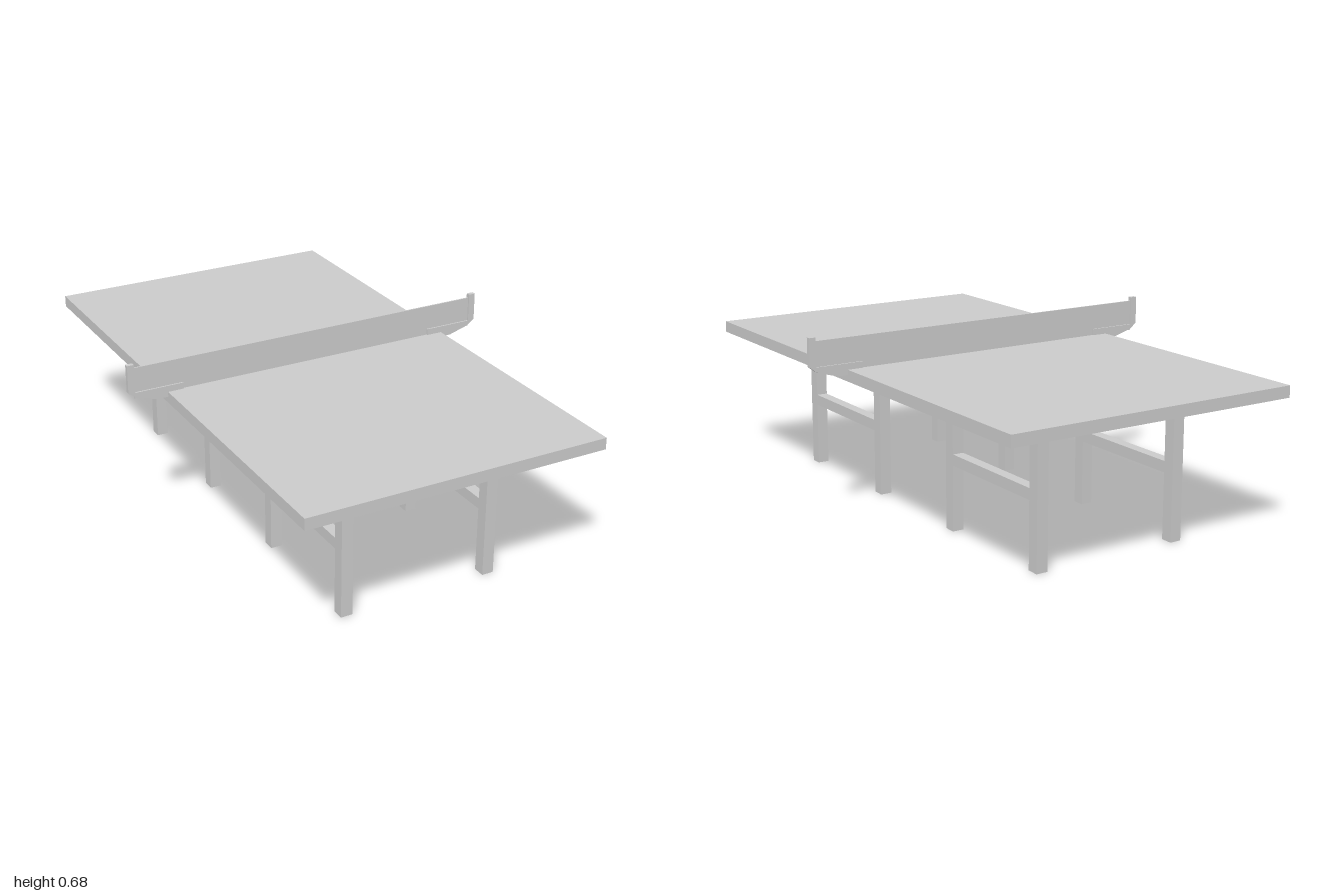
import * as THREE from 'three';

export function createModel() {
  const group = new THREE.Group();
  const material = new THREE.MeshStandardMaterial({ color: 0xcccccc, flatShading: true });

  const add = (name, geometry, x = 0, y = 0, z = 0) => {
    const mesh = new THREE.Mesh(geometry, material);
    mesh.name = name;
    mesh.position.set(x, y, z);
    group.add(mesh);
  };
  const box = (name, w, h, d, x, y, z) => add(name, new THREE.BoxGeometry(w, h, d), x, y, z);

  // Table top
  box('tableTop', 1.108, 0.042, 2, 0, 0.534, 0);

  // Four leg frames: two legs joined by a rail
  for (const sx of [-1, 1]) {
    for (const sz of [-1, 1]) {
      for (const z of [0.251, 0.752]) box('leg', 0.043, 0.515, 0.044, sx * 0.277, 0.2575, sz * z);
      box('legRail', 0.04, 0.04, 0.46, sx * 0.277, 0.257, sz * 0.5015);
    }
  }

  // Net stretched between the brackets
  box('net', 1.352, 0.113, 0.005, 0, 0.6115, 0);

  // Net brackets: clamp over the table edge with an upright post
  for (const s of [-1, 1]) {
    const points = [
      [0.495, 0.537], [0.595, 0.537], [0.67, 0.559], [0.699, 0.58],
      [0.699, 0.682], [0.674, 0.682], [0.674, 0.578], [0.495, 0.578],
    ];
    const shape = new THREE.Shape(points.map(([x, y]) => new THREE.Vector2(s * x, y)));
    const bracket = new THREE.ExtrudeGeometry(shape, { depth: 0.016, bevelEnabled: false });
    add('netBracket', bracket, 0, 0, -0.008);
  }

  return group;
}
